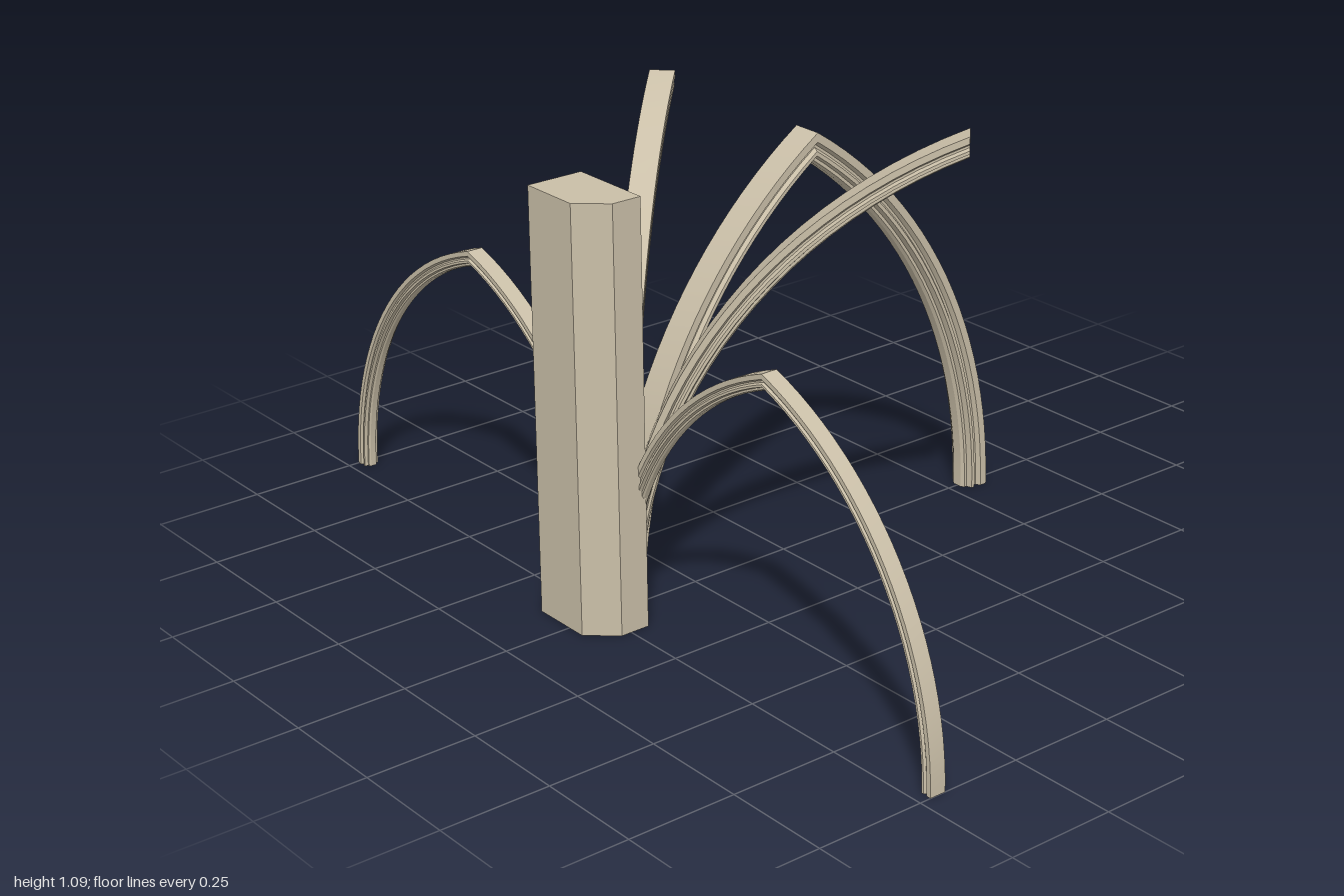
import * as THREE from 'three';

const stone = new THREE.MeshStandardMaterial({ color: 0xcabfa8 });
stone.name = 'stone';

// Half of the moulded rib section: [half-width, depth] as fractions
const HALF = [
  [0.5, 0], [0.5, 0.3], [0.35, 0.4], [0.35, 0.5], [0.47, 0.6],
  [0.47, 0.74], [0.27, 0.8], [0.27, 0.92], [0.16, 1],
];
const SECTION = [...HALF, ...HALF.slice().reverse().map(([u, v]) => [-u, v])];

// Curved half of a pointed arch: springs upright at x = 0 and ends on the plane x = run
function halfArch(run, rise, width, depth, steps = 24) {
  const R = (run * run + rise * rise) / (2 * run);
  const pos = [], index = [];
  const point = ([u, v], t) => {
    const r = R - v * depth;
    const angle = t * Math.acos((R - run) / r);
    return [R - r * Math.cos(angle), r * Math.sin(angle), u * width];
  };
  // One strip per moulding face, so edges stay crisp and the curve stays smooth
  SECTION.forEach((p, i) => {
    const q = SECTION[(i + 1) % SECTION.length];
    const base = pos.length / 3;
    for (let j = 0; j <= steps; j++) {
      pos.push(...point(p, j / steps), ...point(q, j / steps));
      if (j < steps) {
        const a = base + j * 2;
        index.push(a, a + 1, a + 3, a, a + 3, a + 2);
      }
    }
  });
  // End caps
  const flat = SECTION.map(([u, v]) => new THREE.Vector2(v, u));
  const faces = THREE.ShapeUtils.triangulateShape(flat, []);
  for (const t of [0, 1]) {
    const base = pos.length / 3;
    SECTION.forEach((p) => pos.push(...point(p, t)));
    for (const [a, b, c] of faces) {
      const ccw = THREE.ShapeUtils.area([flat[a], flat[b], flat[c]]) > 0;
      if (ccw === (t === 0)) index.push(base + a, base + b, base + c);
      else index.push(base + a, base + c, base + b);
    }
  }
  const geo = new THREE.BufferGeometry();
  geo.setAttribute('position', new THREE.Float32BufferAttribute(pos, 3));
  geo.setIndex(index);
  geo.computeVertexNormals();
  return geo;
}

const SPRING_Z = 0.455;

// Rib leaving the pier in plan direction (dx, dz); a full one has a mirrored far half
function rib(name, dx, dz, rise, width, depth, full) {
  const group = new THREE.Group();
  group.name = name;
  const run = Math.hypot(dx, dz);
  const geo = halfArch(run, rise, width, depth);
  const turn = Math.atan2(-dz, dx);
  const near = new THREE.Mesh(geo, stone);
  near.name = name + 'NearHalf';
  near.rotation.y = turn;
  near.position.set(0, 0, SPRING_Z);
  group.add(near);
  if (full) {
    const far = new THREE.Mesh(geo, stone);
    far.name = name + 'FarHalf';
    far.rotation.y = turn + Math.PI;
    far.position.set(2 * dx, 0, SPRING_Z + 2 * dz);
    group.add(far);
  }
  return group;
}

export function createModel() {
  const model = new THREE.Group();
  model.name = 'vaultBay';

  // Pier with one chamfered corner
  const plan = new THREE.Shape(
    [[-0.1, -0.588], [0.045, -0.588], [0.1, -0.525], [0.1, -0.455], [-0.1, -0.455]]
      .map(([x, y]) => new THREE.Vector2(x, y)));
  const pierGeo = new THREE.ExtrudeGeometry(plan, { depth: 0.96, bevelEnabled: false });
  pierGeo.rotateX(-Math.PI / 2);
  const pier = new THREE.Mesh(pierGeo, stone);
  pier.name = 'pier';
  model.add(pier);

  // Wall arches, diagonal ribs and the large transverse arch
  model.add(
    rib('leftWallArch', 0.5, 0, 0.71, 0.038, 0.035, true),
    rib('rightWallArch', -0.5, 0, 0.676, 0.038, 0.035, true),
    rib('leftDiagonalRib', 0.5, -0.52, 1.085, 0.058, 0.046, false),
    rib('rightDiagonalRib', -0.5, -0.52, 0.98, 0.058, 0.046, false),
    rib('transverseArch', 0, -0.52, 0.967, 0.07, 0.058, true),
  );
  return model;
}
